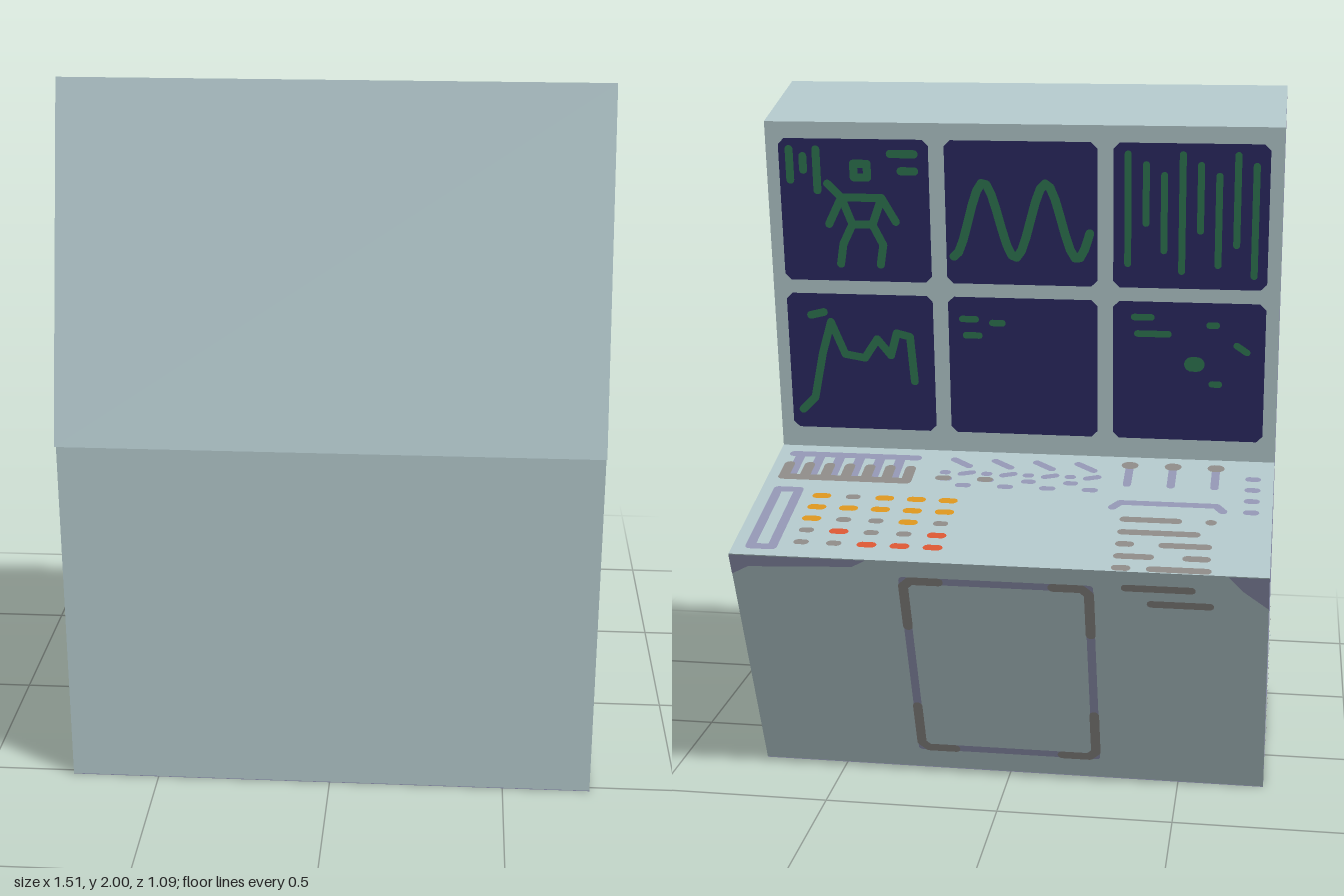
import * as THREE from 'three';
import { mergeGeometries } from 'three/addons/utils/BufferGeometryUtils.js';

const paint = (name, color) => {
  const m = new THREE.MeshStandardMaterial({ color });
  m.name = name;
  return m;
};

export function createModel() {
  const model = new THREE.Group();
  model.name = 'controlConsole';
  const teal = paint('paleTeal', 0xb3c8cc);
  const lavender = paint('lavenderGrey', 0x9397b4);
  const grey = paint('warmGrey', 0x8e8b88);
  const orange = paint('orange', 0xdc961e);
  const red = paint('red', 0xdb5733);
  const navy = paint('screenNavy', 0x2b2962);
  const green = paint('screenGreen', 0x2d7450);

  // Cabinet: side profile as [z, y], extruded across the width
  const profile = [[0.52, 0.002], [0.52, 1.03], [0.545, 1.035], [0.285, 2], [-0.04, 1.905],
    [0.06, 0.91], [-0.54, 0.75], [-0.23, 0.002]];
  const shape = new THREE.Shape(profile.map(([z, y]) => new THREE.Vector2(-z, y)));
  const bodyGeo = new THREE.ExtrudeGeometry(shape, { depth: 1.5, bevelEnabled: false });
  bodyGeo.translate(0, 0, -0.75).rotateY(Math.PI / 2);
  const body = new THREE.Mesh(bodyGeo, [lavender, teal]);
  body.name = 'cabinet';
  model.add(body);

  const base = new THREE.Mesh(new THREE.BoxGeometry(1.5, 0.002, 0.75), lavender);
  base.name = 'basePlate';
  base.position.set(0, 0.001, 0.145);
  model.add(base);

  // A flat drawing area on one face: local x and y run along the face, z points out
  function face(name, origin, xDir, yDir) {
    const g = new THREE.Group();
    g.name = name;
    const x = new THREE.Vector3(...xDir);
    const y = new THREE.Vector3(...yDir).normalize();
    g.quaternion.setFromRotationMatrix(new THREE.Matrix4().makeBasis(x, y, x.clone().cross(y)));
    g.position.set(...origin);
    model.add(g);
    return g;
  }

  // Round-ended strip between two points
  function capsule(ax, ay, bx, by, w) {
    const len = Math.hypot(bx - ax, by - ay), r = w / 2;
    const s = new THREE.Shape();
    s.absarc(len, 0, r, -Math.PI / 2, Math.PI / 2, false);
    s.absarc(0, 0, r, Math.PI / 2, Math.PI * 1.5, false);
    return new THREE.ShapeGeometry(s, 5)
      .rotateZ(Math.atan2(by - ay, bx - ax)).translate(ax, ay, 0);
  }

  // Several polylines drawn as one thin mesh
  function strokes(parent, name, material, w, lines, lift = 0.003) {
    const parts = [];
    for (const l of lines) {
      for (let i = 0; i < l.length - 1; i++) parts.push(capsule(...l[i], ...l[i + 1], w));
    }
    const mesh = new THREE.Mesh(mergeGeometries(parts), material);
    mesh.name = name;
    mesh.position.z = lift;
    parent.add(mesh);
  }

  function plate(parent, name, material, points) {
    const s = new THREE.Shape(points.map(p => new THREE.Vector2(...p)));
    const mesh = new THREE.Mesh(new THREE.ShapeGeometry(s), material);
    mesh.name = name;
    mesh.position.z = 0.002;
    parent.add(mesh);
  }

  // Desk: points are given as [x, z] and laid on the slope
  const desk = face('desk', [0, 0.91, 0.06], [1, 0, 0], [0, -0.16, -0.6]);
  const onDesk = lines => lines.map(l => l.map(([x, z]) => [x, (0.06 - z) * 1.035]));
  const row = (z, spans) => spans.map(([a, b]) => [[a, z], [b, z]]);
  const draw = (name, mat, w, lines, lift) => strokes(desk, name, mat, w, onDesk(lines), lift);

  // Button grid
  const buttons = { R: [], O: [], g: [] };
  ['RRRgg', 'RggRg', 'gOggO', 'OOOOO', 'OOOgO'].forEach((line, j) => {
    [...line].forEach((c, i) => {
      const x = 0.183 + i * 0.094, z = -0.47 + j * 0.061, h = c === 'g' ? 0.009 : 0.014;
      buttons[c].push([[x - h, z], [x + h, z]]);
    });
  });
  draw('redButtons', red, 0.028, buttons.R);
  draw('orangeButtons', orange, 0.028, buttons.O);
  draw('greyButtons', grey, 0.026, buttons.g);

  // Slot, readout lines and tray
  draw('slotRing', lavender, 0.028,
    [[[0.635, -0.5], [0.698, -0.5], [0.698, -0.198], [0.635, -0.198], [0.635, -0.5]]]);
  draw('readoutLines', grey, 0.028, [
    ...row(-0.527, [[-0.58, -0.43], [-0.36, -0.335]]),
    ...row(-0.47, [[-0.575, -0.525], [-0.42, -0.335]]),
    ...row(-0.41, [[-0.575, -0.455], [-0.36, -0.335]]),
    ...row(-0.35, [[-0.54, -0.335]]),
    ...row(-0.285, [[-0.582, -0.578], [-0.485, -0.335]])]);
  draw('tray', lavender, 0.026, [[[-0.61, -0.225], [-0.59, -0.198], [-0.315, -0.198], [-0.295, -0.225]]]);

  // Indicator dots, levers and diagonal switches
  draw('indicatorDots', lavender, 0.026,
    [-0.225, -0.165, -0.105, -0.045].map(z => [[-0.7, z], [-0.68, z]]));
  const leverX = [-0.58, -0.453, -0.325];
  draw('leverStems', lavender, 0.024, leverX.map(x => [[x, -0.1], [x, 0]]));
  draw('leverKnobs', grey, 0.04, leverX.map(x => [[x - 0.005, 0.005], [x + 0.005, 0.005]]), 0.005);
  const switches = [], switchTips = [];
  for (let i = 0; i < 4; i++) {
    const x = -0.22 + i * 0.125;
    switches.push([[x - 0.012, -0.138], [x + 0.012, -0.138]], [[x + 0.05, -0.105], [x + 0.07, -0.105]],
      [[x - 0.015, -0.065], [x + 0.015, -0.075]], [[x + 0.06, -0.07], [x + 0.07, -0.07]],
      [[x, -0.03], [x + 0.05, 0.005]]);
    if (i > 1) switchTips.push([[x + 0.055, -0.105], [x + 0.075, -0.105]]);
  }
  draw('switches', lavender, 0.024, switches);
  draw('switchTips', grey, 0.028, switchTips, 0.005);

  // Slider bank
  const teeth = [0, 1, 2, 3, 4, 5, 6].map(i => 0.327 + i * 0.062);
  draw('sliderRail', lavender, 0.03, [[[0.32, 0.005], [0.7, 0.005]],
    ...teeth.slice(1).map(x => [[x - 0.02, -0.12], [x - 0.02, 0]])]);
  draw('sliderHandles', grey, 0.032, [[[0.327, -0.13], [0.7, -0.13]],
    ...teeth.map(x => [[x, -0.13], [x, -0.06]])], 0.005);

  // Screen wall: two rows of three screens
  const wall = face('screenWall', [0, 0.91, 0.06], [-1, 0, 0], [0, 0.995, -0.1]);
  for (const x of [-0.49, 0, 0.49]) {
    for (const y of [0.275, 0.74]) {
      const w = 0.222, h = 0.212, c = 0.018;
      plate(wall, 'screen', navy, [[x - w + c, y - h], [x + w - c, y - h], [x + w, y - h + c],
        [x + w, y + h - c], [x + w - c, y + h], [x - w + c, y + h], [x - w, y + h - c], [x - w, y - h + c]]);
    }
  }
  const show = (name, w, lines) => strokes(wall, name, green, w, lines, 0.004);
  show('figureDisplay', 0.024, [
    [[-0.49, 0.88], [-0.45, 0.88], [-0.45, 0.84], [-0.49, 0.84], [-0.49, 0.88]],
    [[-0.57, 0.82], [-0.53, 0.78], [-0.41, 0.78], [-0.37, 0.71]],
    [[-0.57, 0.7], [-0.53, 0.78], [-0.5, 0.7], [-0.53, 0.64], [-0.54, 0.58]],
    [[-0.41, 0.78], [-0.44, 0.7], [-0.41, 0.64], [-0.42, 0.58]], [[-0.5, 0.7], [-0.44, 0.7]],
    [[-0.68, 0.92], [-0.68, 0.83]], [[-0.64, 0.9], [-0.64, 0.86]], [[-0.6, 0.92], [-0.6, 0.8]],
    [[-0.38, 0.91], [-0.31, 0.91]], [[-0.35, 0.86], [-0.31, 0.86]]]);
  const wave = [];
  for (let i = 0; i <= 28; i++) {
    const t = i / 28;
    wave.push([-0.2 + 0.4 * t, 0.72 - 0.11 * Math.cos(t * Math.PI * 4.4)]);
  }
  show('waveDisplay', 0.026, [wave]);
  show('barDisplay', 0.02, [0.6, 0.72, 0.64, 0.58, 0.7, 0.6, 0.66, 0.57].map((y, i) =>
    [[0.31 + i * 0.052, 0.92 - (i % 3) * 0.03], [0.31 + i * 0.052, y]]));
  show('graphDisplay', 0.024, [
    [[-0.68, 0.12], [-0.64, 0.16], [-0.61, 0.3], [-0.58, 0.4], [-0.54, 0.3], [-0.48, 0.29],
      [-0.44, 0.35], [-0.4, 0.3], [-0.38, 0.37], [-0.34, 0.36], [-0.33, 0.22]],
    [[-0.64, 0.42], [-0.6, 0.43]]]);
  show('textDisplay', 0.02, [[[-0.18, 0.42], [-0.14, 0.42]], [[-0.17, 0.37], [-0.13, 0.37]],
    [[-0.09, 0.41], [-0.06, 0.41]], [[0.33, 0.44], [0.38, 0.44]], [[0.34, 0.39], [0.43, 0.39]],
    [[0.55, 0.42], [0.57, 0.42]], [[0.63, 0.36], [0.66, 0.34]], [[0.56, 0.24], [0.58, 0.24]]]);
  show('targetDisplay', 0.045, [[[0.5, 0.3], [0.515, 0.3]]]);

  // Sloped apron under the desk
  const apron = face('apron', [0, 0, -0.23], [-1, 0, 0], [0, 0.75, -0.31]);
  const L = -0.26, R = 0.26, B = 0.09, T = 0.745;
  strokes(apron, 'hatchSeam', lavender, 0.024, [[[L, B], [R, B], [R, T], [L, T], [L, B]]]);
  const corners = [];
  for (const [x, sx] of [[L, 1], [R, -1]]) {
    for (const [y, sy] of [[B, 1], [T, -1]]) {
      corners.push([[x + sx * 0.1, y], [x + sx * 0.02, y], [x, y + sy * 0.02], [x, y + sy * 0.17]]);
    }
  }
  strokes(apron, 'hatchCorners', grey, 0.028, corners, 0.005);
  strokes(apron, 'vents', grey, 0.024, [[[0.36, 0.755], [0.54, 0.755]], [[0.43, 0.7], [0.59, 0.7]]]);
  plate(apron, 'leftTrim', lavender, [[-0.75, 0.81], [-0.75, 0.74], [-0.7, 0.77], [-0.4, 0.785], [-0.36, 0.81]]);
  plate(apron, 'rightTrim', lavender, [[0.75, 0.81], [0.64, 0.81], [0.68, 0.76], [0.75, 0.7]]);

  // Left side panel seam: local x is -z
  const left = face('leftSide', [0.75, 0, 0], [0, 0, -1], [0, 1, 0]);
  strokes(left, 'panelSeam', grey, 0.034, [
    [[-0.445, 0.165], [-0.445, 0.1], [-0.42, 0.08], [0.145, 0.08], [0.165, 0.11], [0.215, 0.2]],
    [[-0.445, 0.87], [-0.445, 0.91], [-0.39, 0.92], [0.0, 0.82], [0.38, 0.735], [0.43, 0.71], [0.41, 0.65]]]);
  strokes(left, 'panelHighlights', teal, 0.034,
    [[[-0.445, 0.28], [-0.445, 0.705]], [[0.255, 0.31], [0.345, 0.52]]]);

  // Right side vent stripes: local x is z
  const right = face('rightSide', [-0.75, 0, 0], [0, 0, 1], [0, 1, 0]);
  const stripeY = [0.09, 0.205, 0.325];
  strokes(right, 'ventStripes', grey, 0.034, stripeY.map(y => [[-0.165, y + 0.01], [0.42, y], [0.45, y + 0.03]]));
  strokes(right, 'ventHighlights', teal, 0.034,
    stripeY.map((y, i) => [[-0.1 + i * 0.06, y + 0.005], [0.2, y + 0.003]]), 0.005);

  return model;
}
